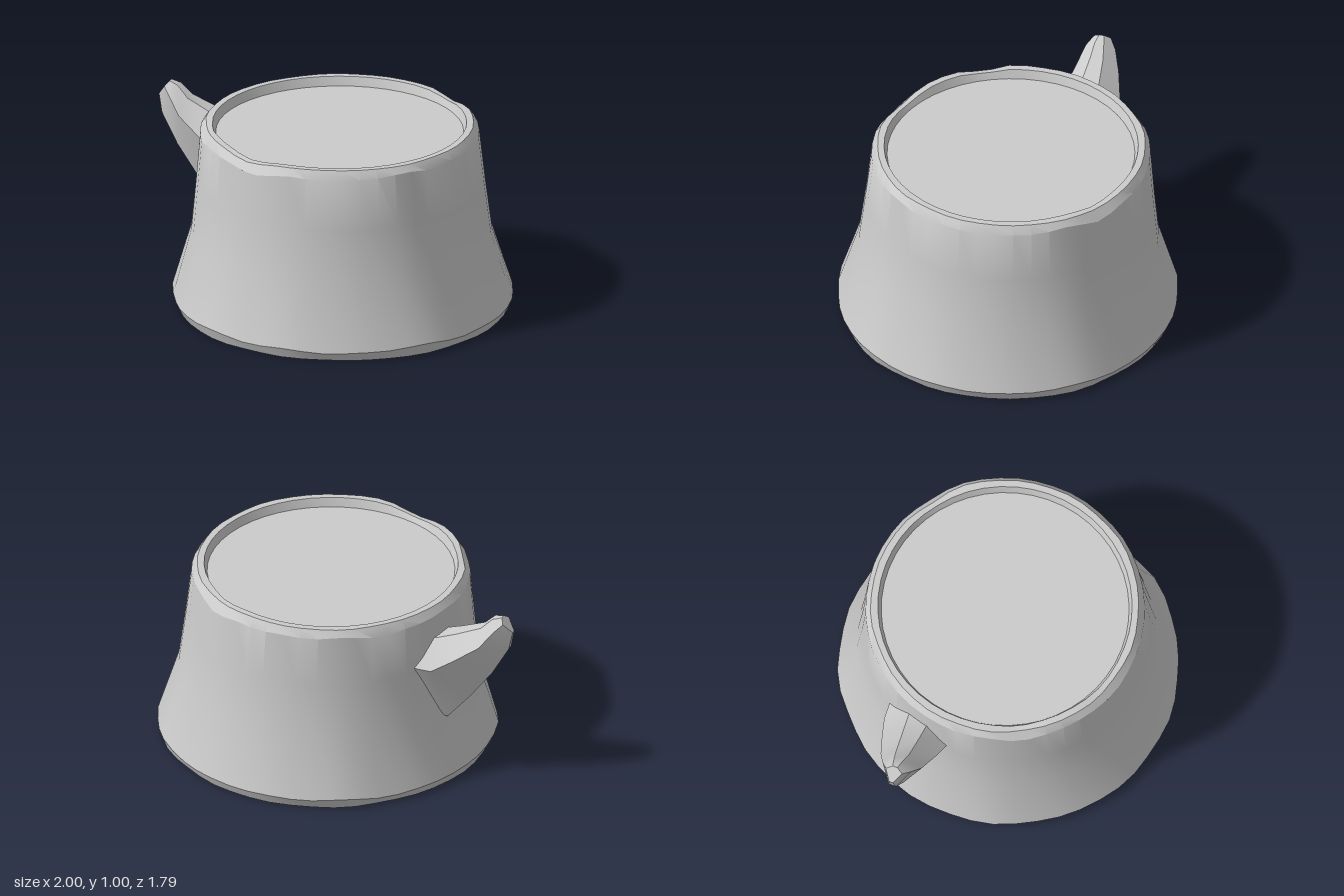
import * as THREE from 'three';
import { toCreasedNormals } from 'three/addons/utils/BufferGeometryUtils.js';

const material = new THREE.MeshStandardMaterial({ color: 0xcccccc });

// periodic roughness around the trunk, about -1..1
const rough = (a) => (Math.sin(5 * a + 1) + Math.sin(9 * a + 2.3) + Math.sin(14 * a + 0.4)) / 2.4;
// smooth dent centred on angle c
const dent = (a, c, w) => {
  const d = Math.atan2(Math.sin(a - c), Math.cos(a - c));
  return Math.exp(-(d * d) / (w * w));
};

// trunk: flared lathe with worn edges and a shallow recessed cut face
function makeTrunk() {
  const profile = [
    [0, 0], [0.872, 0], [0.893, 0.05], [0.79, 0.4], [0.758, 0.68], [0.732, 0.95],
    [0.703, 0.993], [0.667, 0.993], [0.65, 0.945], [0, 0.945],
  ].map(([r, y]) => new THREE.Vector2(r, y));
  const geo = new THREE.LatheGeometry(profile, 48);
  const pos = geo.attributes.position;
  for (let i = 0; i < pos.count; i++) {
    const row = i % profile.length;
    let x = pos.getX(i), y = pos.getY(i), z = pos.getZ(i);
    const a = Math.atan2(x, z), n = rough(a);
    let scale = 1;
    if (row === 1) scale += 0.008 * n;
    if (row === 2) { scale += 0.01 * n; y += 0.012 * n; }
    if (row === 3) scale += 0.004 * n;
    // chipped bark along the top
    const chip = dent(a, 0.15, 0.2) + 0.7 * dent(a, -0.6, 0.12) + 0.6 * dent(a, Math.PI - 0.1, 0.15);
    if (row === 5) y += 0.01 * n - 0.03 * chip;
    if (row === 6) { y -= 0.028 * chip; scale += 0.006 * n - 0.012 * chip; }
    if (row === 7) y -= 0.022 * chip;
    // the trunk leans slightly
    pos.setXYZ(i, x * scale + 0.1 - 0.03 * y, y, z * scale);
  }
  return new THREE.Mesh(toCreasedNormals(geo, 0.5), material);
}

// branch stub: tapered cross-sections lofted upwards and outwards
function makeBranch() {
  // lower distance, lower height, upper distance, upper height, half width
  const sections = [
    [0.55, 0.38, 0.5, 0.83, 0.19], [0.69, 0.36, 0.63, 0.83, 0.185],
    [0.81, 0.5, 0.74, 0.87, 0.155], [0.93, 0.66, 0.87, 0.925, 0.115],
    [1.02, 0.82, 0.93, 0.985, 0.08], [1.04, 0.92, 0.98, 1.0, 0.045],
  ];
  // position across the width, fraction from lower to upper edge
  const outline = [[-0.25, 0], [0.25, 0], [1, 0.72], [0.3, 1], [-0.3, 1], [-1, 0.72]];
  const verts = [], index = [], k = outline.length;
  for (const [t0, y0, t1, y1, w] of sections) {
    for (const [u, f] of outline) {
      const t = t0 + (t1 - t0) * f, s = -0.19 + u * w;
      verts.push(-0.87 * t + 0.5 * s, y0 + (y1 - y0) * f, 0.5 * t + 0.87 * s);
    }
  }
  for (let j = 0; j < sections.length - 1; j++) {
    for (let i = 0; i < k; i++) {
      const a = j * k + i, b = j * k + (i + 1) % k;
      index.push(a, b, b + k, a, b + k, a + k);
    }
  }
  // end caps
  const last = (sections.length - 1) * k;
  for (let i = 1; i < k - 1; i++) {
    index.push(0, i + 1, i, last, last + i, last + i + 1);
  }
  const geo = new THREE.BufferGeometry();
  geo.setAttribute('position', new THREE.Float32BufferAttribute(verts, 3));
  geo.setIndex(index);
  return new THREE.Mesh(toCreasedNormals(geo, 0.55), material);
}

export function createModel() {
  const model = new THREE.Group();
  model.name = 'treeStump';
  const trunk = makeTrunk();
  trunk.name = 'trunk';
  const branch = makeBranch();
  branch.name = 'branchStub';
  model.add(trunk, branch);
  return model;
}
